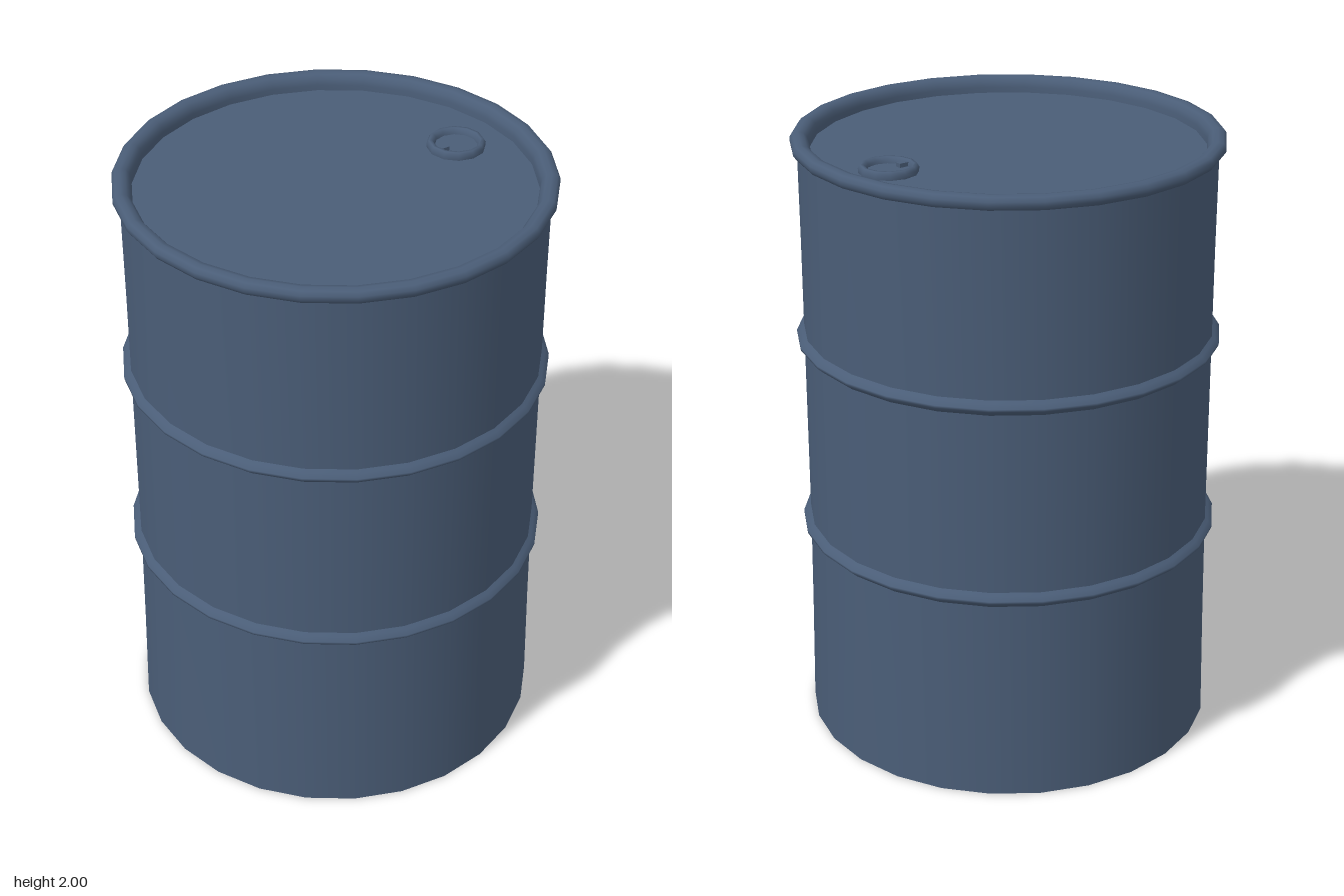
import * as THREE from 'three';

const SIDES = 26;

export function createModel() {
  const group = new THREE.Group();
  group.name = 'steelDrum';

  const bluePaint = new THREE.MeshStandardMaterial({ color: 0x4a5d77 });
  bluePaint.name = 'bluePaint';

  const add = (name, geometry, parent = group) => {
    const mesh = new THREE.Mesh(geometry, bluePaint);
    mesh.name = name;
    parent.add(mesh);
    return mesh;
  };
  // Profiles are [radius, height]; run upwards to face outwards
  const lathe = (points, sides = SIDES) =>
    new THREE.LatheGeometry(points.map(([r, y]) => new THREE.Vector2(r, y)), sides);
  const disc = (radius, sides, up) => {
    const g = new THREE.CircleGeometry(radius, sides);
    g.rotateZ(Math.PI / 2);
    return g.rotateX(up ? -Math.PI / 2 : Math.PI / 2);
  };

  // Wall, in three slightly tapering bands
  add('lowerWall', lathe([[0.668, 0], [0.662, 0.35], [0.658, 0.68]]));
  add('middleWall', lathe([[0.658, 0.71], [0.658, 1.02], [0.658, 1.325]]));
  add('upperWall', lathe([[0.658, 1.355], [0.658, 1.65], [0.66, 1.97]]));

  // Rolling hoops
  for (const [name, y] of [['lowerHoop', 0.695], ['upperHoop', 1.338]]) {
    add(name, lathe([
      [0.656, y - 0.026], [0.668, y - 0.016], [0.681, y - 0.004],
      [0.681, y + 0.004], [0.668, y + 0.016], [0.656, y + 0.026],
    ]));
  }

  // Rolled top rim
  add('topRim', lathe([
    [0.655, 1.952], [0.672, 1.957], [0.681, 1.97], [0.681, 1.984], [0.672, 1.996],
    [0.655, 2], [0.638, 1.996], [0.626, 1.982], [0.622, 1.965], [0.621, 1.94],
  ]));

  // Recessed lid
  add('lid', disc(0.624, SIDES, true)).position.y = 1.947;

  // Bottom chime and recessed base
  add('bottomLip', lathe([[0.645, 0], [0.668, 0]]));
  add('bottomInnerWall', lathe([[0.64, 0.036], [0.645, 0]]));
  add('base', disc(0.645, SIDES, false)).position.y = 0.034;

  // Filler bung: raised ring, sunken cap and a small grip tab
  const bung = new THREE.Group();
  bung.name = 'bung';
  bung.position.set(0.45, 1.947, 0);
  group.add(bung);
  add('bungRing', lathe([
    [0.092, 0], [0.093, 0.014], [0.086, 0.025], [0.077, 0.025], [0.069, 0.015], [0.067, 0.004],
  ], 12), bung);
  add('bungCap', disc(0.072, 12, true), bung).position.y = 0.006;
  const tab = add('bungTab', new THREE.BoxGeometry(0.035, 0.014, 0.022), bung);
  tab.position.set(-0.055, 0.012, 0.006);

  return group;
}
